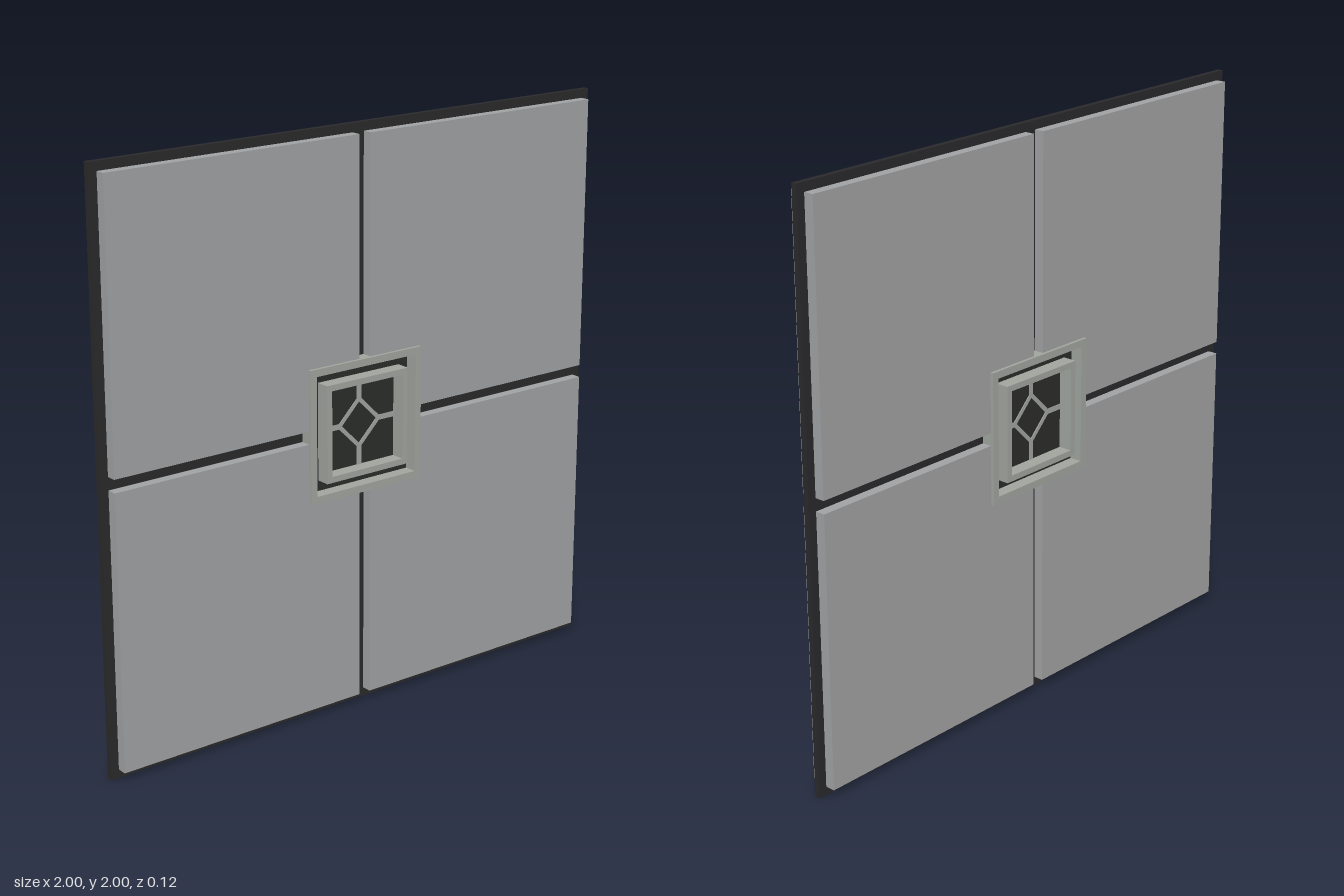
import * as THREE from 'three';

const mat = (name, color) => {
  const m = new THREE.MeshStandardMaterial({ color });
  m.name = name;
  return m;
};

function polygon(points, Type = THREE.Shape) {
  return new Type(points.map(([x, y]) => new THREE.Vector2(x, y)));
}
const square = (h, Type) => polygon([[-h, -h], [h, -h], [h, h], [-h, h]], Type);
const diamond = (r, Type) => polygon([[r, 0], [0, r], [-r, 0], [0, -r]], Type);

export function createModel() {
  const group = new THREE.Group();
  const panelGrey = mat('panel grey', 0xa0a1a2);
  const trimGrey = mat('trim grey', 0xa0a49d);
  const frameDark = mat('frame dark', 0x29292b);
  const recessDark = mat('recess dark', 0x2b2d2a);

  const add = (name, geometry, material, x = 0, y = 0, z = 0) => {
    const mesh = new THREE.Mesh(geometry, material);
    mesh.name = name;
    mesh.position.set(x, y + 1, z);
    group.add(mesh);
    return mesh;
  };
  // Extrusion centred on z = 0
  const slab = (shape, depth) =>
    new THREE.ExtrudeGeometry(shape, { depth, bevelEnabled: false }).translate(0, 0, -depth / 2);

  // Thin dark core showing as border and grooves
  add('core', new THREE.BoxGeometry(2, 2, 0.02), frameDark);

  // Four panels, each notched at the middle for the emblem
  const a = 0.022, b = 0.97, n = 0.21;
  const panel = slab(polygon([[n, a], [b, a], [b, b], [a, b], [a, n], [n, n]]), 0.09);
  for (let i = 0; i < 4; i++) {
    add('panel', panel, panelGrey).rotation.z = i * Math.PI / 2;
  }

  // Raised square frames, passing through to both sides
  const ring = (name, outer, inner, depth) => {
    const shape = square(outer);
    shape.holes.push(square(inner, THREE.Path));
    add(name, slab(shape, depth), trimGrey);
  };
  ring('outerFrame', 0.23, 0.205, 0.112);
  ring('innerFrame', 0.168, 0.147, 0.122);

  // Recess floor, diamond and spokes
  add('recessFloor', new THREE.BoxGeometry(0.41, 0.41, 0.024), recessDark);
  const outline = diamond(0.092);
  outline.holes.push(diamond(0.072, THREE.Path));
  add('diamond', slab(outline, 0.03), trimGrey);
  for (let i = 0; i < 4; i++) {
    const t = i * Math.PI / 2;
    add('spoke', new THREE.BoxGeometry(0.066, 0.018, 0.03), trimGrey,
      0.116 * Math.cos(t), 0.116 * Math.sin(t)).rotation.z = t;
  }
  return group;
}
